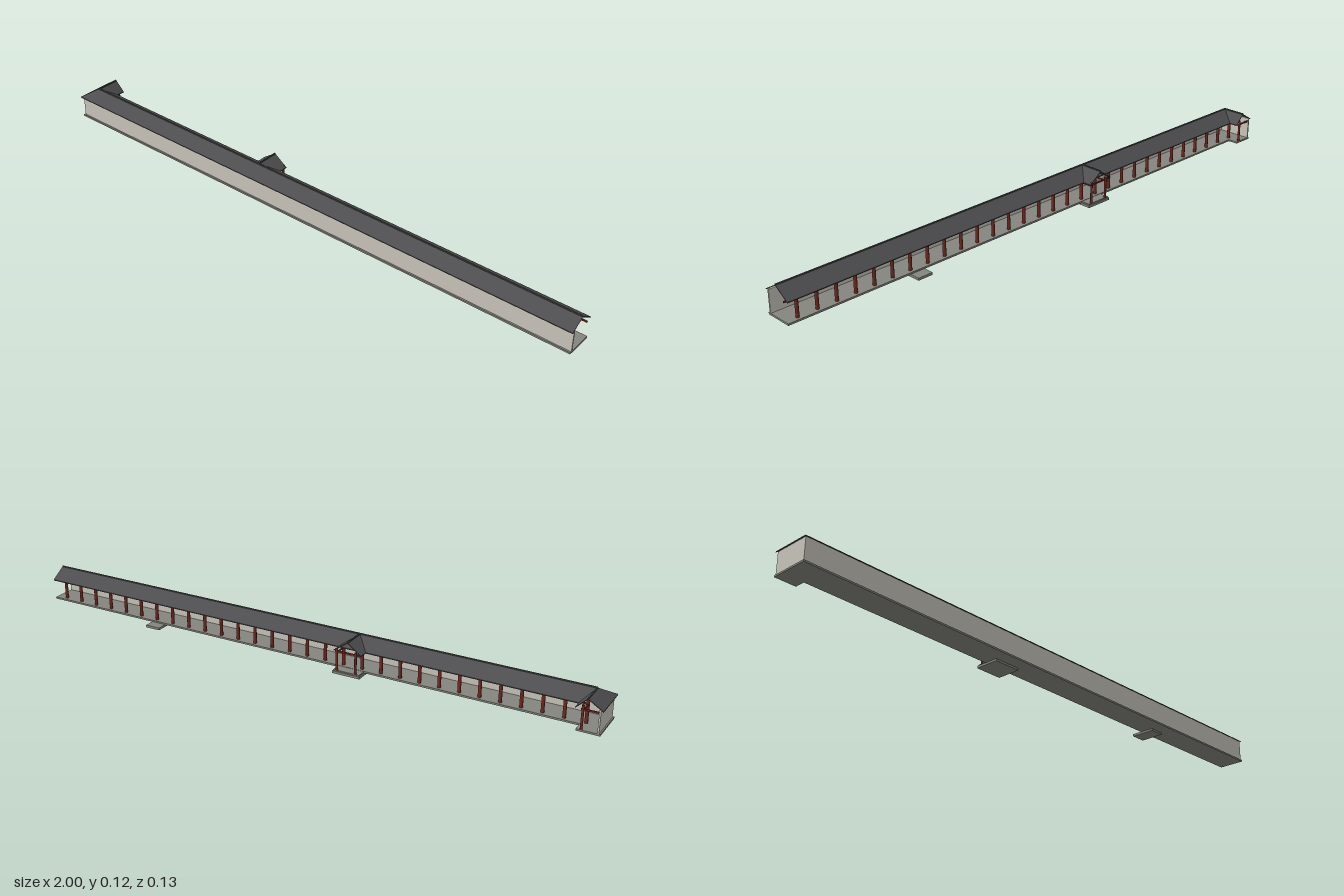
import * as THREE from 'three';

const mat = (name, color, side = THREE.FrontSide) => {
  const m = new THREE.MeshStandardMaterial({ color, side });
  m.name = name;
  return m;
};

export function createModel() {
  const root = new THREE.Group();
  root.name = 'coveredCorridor';
  const tile = mat('roofTileGrey', 0x4e4e50);
  const ridgeGreen = mat('ridgeGreen', 0x3a4843);
  const plaster = mat('wallPlaster', 0xc9c5bb);
  const stone = mat('floorStone', 0x85857f);
  const red = mat('columnRed', 0x742a22);

  const add = (name, geo, material) => {
    const mesh = new THREE.Mesh(geo, material);
    mesh.name = name;
    root.add(mesh);
    return mesh;
  };
  // Box given by its lower and upper limits on each axis
  const box = (name, m, x0, x1, y0, y1, z0, z1) => {
    const g = new THREE.BoxGeometry(x1 - x0, y1 - y0, z1 - z0);
    g.translate((x0 + x1) / 2, (y0 + y1) / 2, (z0 + z1) / 2);
    return add(name, g, m);
  };
  // Sloping roof slab: convex outline, counter-clockwise from above, with thickness t
  const slab = (name, pts, m = tile, t = 0.003) => {
    const pos = [];
    const low = pts.map(([x, y, z]) => [x, y - t, z]);
    const tri = (a, b, c) => pos.push(...a, ...b, ...c);
    pts.forEach((p, i) => {
      const j = (i + 1) % pts.length;
      if (i > 0 && j > 0) {
        tri(pts[0], p, pts[j]);
        tri(low[0], low[j], low[i]);
      }
      tri(p, low[i], low[j]);
      tri(p, low[j], pts[j]);
    });
    const g = new THREE.BufferGeometry();
    g.setAttribute('position', new THREE.Float32BufferAttribute(pos, 3));
    g.computeVertexNormals();
    return add(name, g, m);
  };
  const column = (x, z, r, top) => {
    const g = new THREE.CylinderGeometry(r, r, top - 0.012, 12);
    g.translate(x, (top + 0.012) / 2, z);
    add('column', g, red);
  };

  // Levels shared by the roofs
  const ridgeY = 0.114, ridgeZ = 0.017, frontY = 0.085, backY = 0.08;
  const frontZ = 0.065, backZ = -0.035, endZ = -0.065;
  const cornerX = -0.953, innerX = -0.918;

  // Floors and steps
  box('mainFloor', stone, -0.997, 1, 0.007, 0.013, -0.03, 0.062);
  box('cornerFloor', stone, -0.997, -0.925, 0.007, 0.013, endZ, -0.03);
  box('porchFloor', stone, -0.232, -0.142, 0.007, 0.012, -0.062, -0.03);
  box('porchStep', stone, -0.235, -0.139, 0, 0.008, endZ, 0.017);
  box('sideStep', stone, 0.525, 0.578, 0, 0.008, endZ, 0.017);

  // Walls: long front wall and closed end of the corner
  box('frontWall', plaster, -0.993, 1, 0.012, 0.087, 0.052, 0.057);
  box('cornerWall', plaster, -0.993, -0.988, 0.012, 0.087, endZ, 0.052);

  // Main roof
  slab('roofFront', [[-1, frontY, frontZ], [1, frontY, frontZ],
    [1, ridgeY, ridgeZ], [cornerX, ridgeY, ridgeZ]]);
  slab('roofBack', [[cornerX, ridgeY, ridgeZ], [1, ridgeY, ridgeZ],
    [1, backY, backZ], [innerX, backY, backZ]]);
  box('mainRidge', tile, cornerX, 1, ridgeY - 0.003, ridgeY + 0.002, ridgeZ - 0.002, ridgeZ + 0.002);

  // Corner roof turning toward the back
  slab('cornerRoofOuter', [[-1, frontY, endZ], [-1, frontY, frontZ],
    [cornerX, ridgeY, ridgeZ], [cornerX, ridgeY, endZ]]);
  slab('cornerRoofInner', [[cornerX, ridgeY, endZ], [cornerX, ridgeY, ridgeZ],
    [innerX, backY, backZ], [innerX, backY, endZ]]);
  box('cornerRidge', ridgeGreen, cornerX - 0.002, cornerX + 0.002, ridgeY - 0.003, ridgeY + 0.002, endZ, ridgeZ);

  // Porch roof crossing the back slope
  const px = -0.192, half = 0.048;
  slab('porchRoofRight', [[px - half, backY, endZ], [px - half, backY, backZ],
    [px, ridgeY, ridgeZ], [px, ridgeY, endZ]]);
  slab('porchRoofLeft', [[px, ridgeY, endZ], [px, ridgeY, ridgeZ],
    [px + half, backY, backZ], [px + half, backY, endZ]]);
  box('porchRidge', ridgeGreen, px - 0.002, px + 0.002, ridgeY - 0.003, ridgeY + 0.002, endZ, ridgeZ);

  // Row of columns with the beam they carry
  const rowZ = -0.016, first = 0.96, step = 0.0655;
  for (let i = 0; i < 30; i++) {
    column(first - i * step, rowZ, 0.0055, 0.088);
  }
  box('rowBeam', red, -0.94, 1, 0.071, 0.076, rowZ - 0.002, rowZ + 0.002);

  // Porch columns and beams
  const porchXs = [first - 17 * step, first - 18 * step];
  for (const x of porchXs) {
    column(x, -0.061, 0.004, 0.085);
    box('porchSideBeam', red, x - 0.002, x + 0.002, 0.07, 0.074, -0.061, rowZ);
  }
  box('porchTieBeam', red, px - half + 0.004, px + half - 0.004, 0.074, 0.079, -0.063, -0.059);

  // Corner column and beams
  column(-0.94, -0.061, 0.004, 0.09);
  box('cornerSideBeam', red, -0.942, -0.938, 0.07, 0.074, -0.061, rowZ);
  box('cornerTieBeam', red, -0.988, -0.935, 0.074, 0.079, -0.063, -0.059);

  return root;
}
